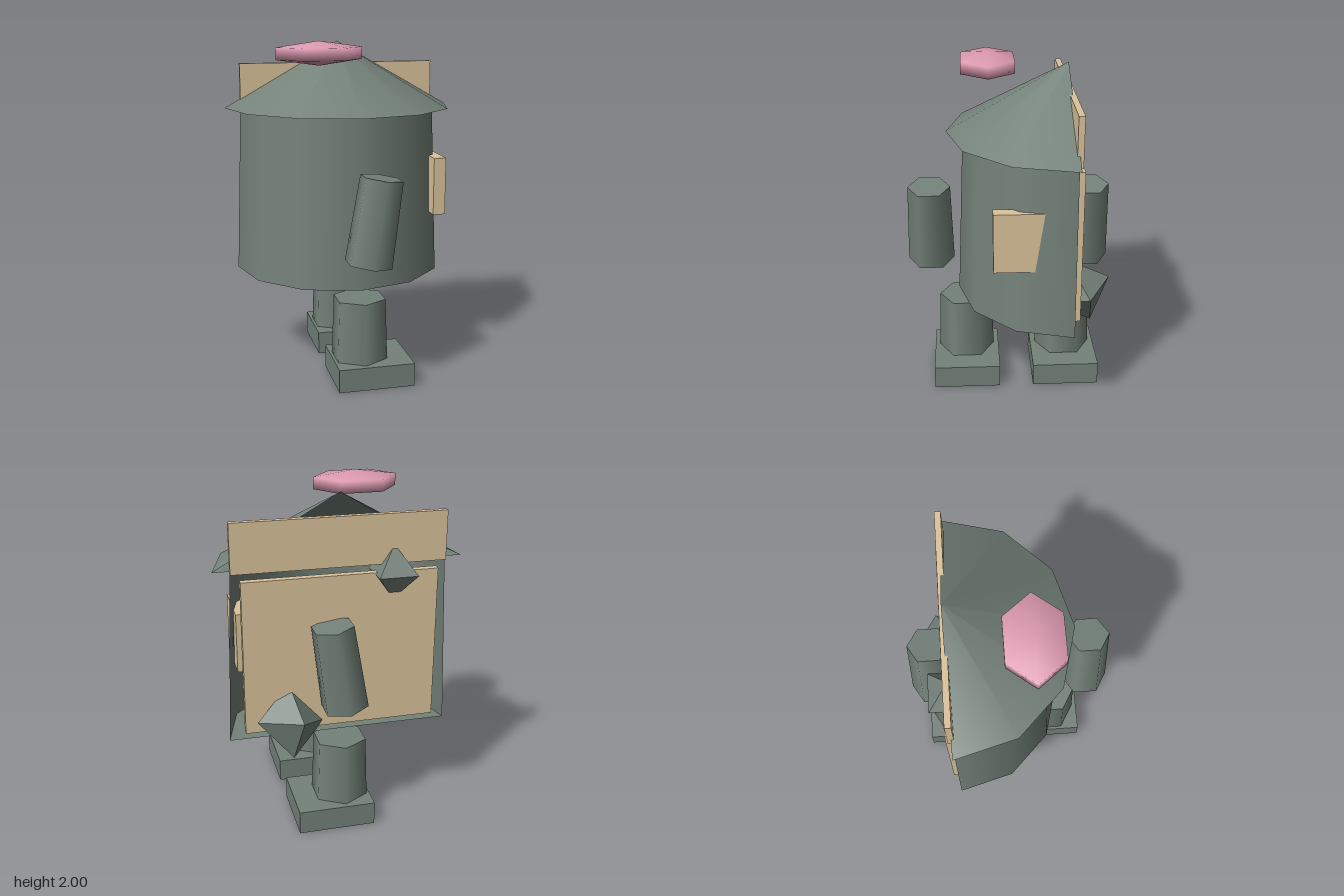
import * as THREE from 'three';

export function createModel() {
  const model = new THREE.Group();
  const material = (color, extra = {}) => new THREE.MeshStandardMaterial({ color, ...extra });
  const green = material(0x74827a);
  const greenShell = material(0x74827a, { side: THREE.DoubleSide });
  const greenFacet = material(0x74827a, { flatShading: true });
  const tan = material(0xdcc49c);
  const pink = material(0xdc9ab0);

  const add = (name, geometry, mat, x, y, z) => {
    const mesh = new THREE.Mesh(geometry, mat);
    mesh.name = name;
    mesh.position.set(x, y, z);
    model.add(mesh);
    return mesh;
  };
  // Box given by its extents on each axis
  const box = (name, mat, [x0, x1], [y0, y1], [z0, z1]) =>
    add(name, new THREE.BoxGeometry(x1 - x0, y1 - y0, z1 - z0), mat,
      (x0 + x1) / 2, (y0 + y1) / 2, (z0 + z1) / 2);

  // Half-round body and roof, open at the back
  const half = (top, bottom, height) =>
    new THREE.CylinderGeometry(top, bottom, height, 6, 1, false, -Math.PI / 2, Math.PI);
  add('body', half(0.61, 0.65, 1.02), greenShell, 0, 1.07, -0.345);
  add('roof', half(0, 0.707, 0.4), greenShell, 0, 1.78, -0.345);

  // Back boards and side window
  box('backPanel', tan, [-0.56, 0.56], [0.615, 1.525], [-0.385, -0.34]);
  box('signBoard', tan, [-0.61, 0.61], [1.565, 1.85], [-0.365, -0.33]);
  box('window', tan, [0.5, 0.575], [0.945, 1.295], [-0.25, 0.11]);

  // Legs, feet and leaning arms, one of each at the front and back
  for (const [side, legZ, armZ] of [['front', 0.265, 0.47], ['back', -0.345, -0.47]]) {
    add(side + 'Leg', new THREE.CylinderGeometry(0.16, 0.178, 0.51, 6), green, -0.003, 0.255, legZ);
    box(side + 'Foot', green, [-0.17, 0.285], [0, 0.14], [legZ - 0.202, legZ + 0.202]);
    const arm = add(side + 'Arm', new THREE.CylinderGeometry(0.125, 0.14, 0.5, 6),
      green, 0.035, 1.017, armZ);
    arm.rotation.z = -0.15;
  }

  // Floating flattened bead above the roof
  add('bead', new THREE.SphereGeometry(1, 6, 3), pink, -0.205, 1.93, 0.113).scale.set(0.289, 0.07, 0.24 * 0.875);

  // Faceted lumps on the back, the larger one tilted to its own axes
  add('upperLump', new THREE.OctahedronGeometry(0.159), greenFacet, -0.308, 1.512, -0.35).rotation.y = Math.PI / 4;
  const tilt = new THREE.Matrix4().makeBasis(
    new THREE.Vector3(-0.038, 0.064, -0.184),
    new THREE.Vector3(0.202, 0.034, -0.044),
    new THREE.Vector3(0.002, -0.201, -0.074));
  add('lowerLump', new THREE.OctahedronGeometry(1).applyMatrix4(tilt), greenFacet, 0.298, 0.676, -0.406);

  return model;
}
